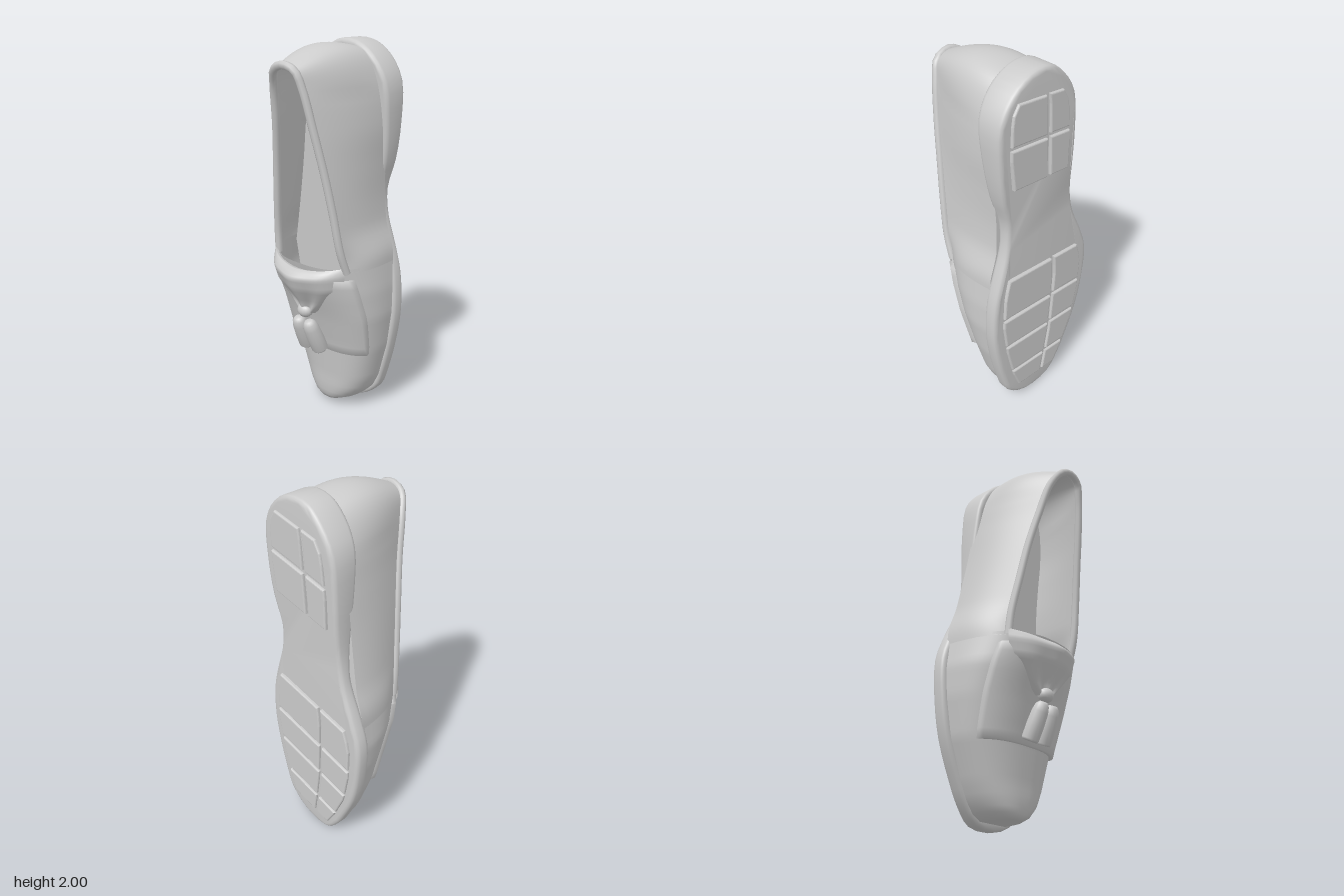
import * as THREE from 'three';
import { mergeVertices, toCreasedNormals } from 'three/addons/utils/BufferGeometryUtils.js';

const V = (x, y, z) => new THREE.Vector3(x, y, z);
const { clamp, lerp, smoothstep } = THREE.MathUtils;
const grey = new THREE.MeshStandardMaterial({ color: 0xcccccc });
const greyThin = new THREE.MeshStandardMaterial({ color: 0xcccccc, side: THREE.DoubleSide });

// Smooth sheet from f(u, v) -> Vector3
function sheet(nu, nv, f) {
  const pos = [], idx = [];
  for (let j = 0; j <= nv; j++) for (let i = 0; i <= nu; i++) pos.push(...f(i / nu, j / nv).toArray());
  for (let j = 0; j < nv; j++) for (let i = 0; i < nu; i++) {
    const a = j * (nu + 1) + i, b = a + nu + 1;
    idx.push(a, a + 1, b, a + 1, b + 1, b);
  }
  const g = new THREE.BufferGeometry();
  g.setAttribute('position', new THREE.Float32BufferAttribute(pos, 3));
  g.setIndex(idx);
  g.computeVertexNormals();
  return g;
}

// Piecewise-linear lookup in rows [y, value, value...]
function lookup(rows, y) {
  let i = 0;
  while (i < rows.length - 2 && y > rows[i + 1][0]) i++;
  const a = rows[i], b = rows[i + 1], t = clamp((y - a[0]) / (b[0] - a[0]), 0, 1);
  return a.map((n, k) => n + (b[k] - n) * t);
}

// Sole outline: y, left edge, right edge
const SOLE = [[0.01, -0.08, 0.11], [0.1, -0.165, 0.235], [0.2, -0.22, 0.275], [0.4, -0.305, 0.325], [0.6, -0.345, 0.352],
  [0.8, -0.352, 0.34], [0.95, -0.3, 0.3], [1.1, -0.235, 0.255], [1.25, -0.205, 0.245], [1.4, -0.2, 0.285],
  [1.6, -0.2, 0.31], [1.8, -0.18, 0.305], [1.92, -0.1, 0.23], [1.985, -0.01, 0.12]];

// Vamp stations: y, left, right, crown height
const VAMP = [[0.03, -0.07, 0.11, -0.05], [0.06, -0.12, 0.17, -0.03], [0.12, -0.165, 0.225, -0.02], [0.2, -0.205, 0.26, -0.015],
  [0.4, -0.285, 0.31, 0.01], [0.6, -0.325, 0.335, 0.07], [0.75, -0.335, 0.335, 0.13], [0.9, -0.315, 0.32, 0.18]];

// Point on the arched vamp, leaning to one side; u runs left to right, grow lifts it off the surface
function vampPoint(u, y, grow = 0) {
  const [, l, r, top] = lookup(VAMP, y), a = Math.PI * (1 - u), c = Math.cos(a);
  const rise = Math.max(0, Math.sin(a)) ** 0.72, hw = (r - l) / 2 + grow;
  return V((l + r) / 2 + hw * Math.sign(c) * Math.abs(c) ** 0.78 + 0.045 * Math.min(1, y / 0.6) * rise,
    y, -0.23 + (top + 0.23 + grow) * rise);
}

function extrude(points, depth, bevel, z) {
  const g = new THREE.ExtrudeGeometry(new THREE.Shape(points),
    { depth, bevelThickness: bevel, bevelSize: bevel, bevelOffset: -bevel, bevelSegments: 3 });
  return g.translate(0, 0, z + bevel);
}

function smooth(g) {
  g.deleteAttribute('uv');
  g.deleteAttribute('normal');
  return toCreasedNormals(mergeVertices(g, 1e-4), 0.8);
}

export function createModel() {
  const model = new THREE.Group();
  const add = (name, geometry, material = grey, parent = model) => {
    const m = new THREE.Mesh(geometry, material);
    m.name = name;
    parent.add(m);
    return m;
  };

  // Sole: thickens into the heel, and hollows slightly at the arch
  const loop = [...SOLE.map(([y, , r]) => V(r, y, 0)), ...SOLE.slice().reverse().map(([y, l]) => V(l, y, 0))];
  const outline = new THREE.CatmullRomCurve3(loop, true).getPoints(84).slice(0, -1).map(p => new THREE.Vector2(p.x, p.y));
  const soleGeo = extrude(outline, 0.034, 0.022, -0.29);
  const sp = soleGeo.attributes.position;
  for (let i = 0; i < sp.count; i++) {
    const y = sp.getY(i), z = sp.getZ(i);
    if (z > -0.25) sp.setZ(i, z + 0.08 * clamp((y - 1.15) / 0.75, 0, 1));
    else sp.setZ(i, z + 0.012 * Math.exp(-(((y - 1.2) / 0.18) ** 2)));
  }
  add('sole', smooth(soleGeo));

  // Tread pads: two columns under the ball, one pair under the heel
  const treads = new THREE.Group();
  treads.name = 'treads';
  model.add(treads);
  const bands = [[0.1, 0.23], [0.25, 0.44], [0.46, 0.64], [0.66, 0.9], [1.43, 1.64], [1.66, 1.86]];
  for (const [y0, y1] of bands) {
    for (const side of [-1, 1]) {
      const edge = [], inner = [];
      for (let k = 0; k <= 4; k++) {
        const y = lerp(y0, y1, k / 4), [, l, r] = lookup(SOLE, y);
        const mid = l + (r - l) * 0.4, out = side < 0 ? l + 0.06 : r - 0.06;
        edge.push(new THREE.Vector2(out, y + out * 0.12));
        inner.unshift(new THREE.Vector2(mid + side * 0.01, y + mid * 0.12));
      }
      const pts = [...edge, ...inner];
      add('treadPad', extrude(side > 0 ? pts : pts.reverse(), 0.012, 0.008, -0.303), grey, treads);
    }
  }

  // Vamp, with its first row gathered to close the toe
  add('vamp', sheet(40, 32, (u, v) => {
    if (v === 0) return V(0.02, 0.03, -0.23);
    return vampPoint(u, lerp(0.03, 0.9, (v * 32 - 1) / 31));
  }), greyThin);

  // Quarters: wall running round the heel, from the sole up to the opening, blending into the vamp
  const base = new THREE.CatmullRomCurve3([V(-0.315, 0.88, -0.23), V(-0.29, 1, -0.23), V(-0.25, 1.2, -0.22), V(-0.215, 1.4, -0.21),
    V(-0.185, 1.6, -0.2), V(-0.145, 1.8, -0.18), V(-0.06, 1.93, -0.17), V(0.06, 1.955, -0.17), V(0.18, 1.93, -0.17),
    V(0.255, 1.8, -0.18), V(0.28, 1.6, -0.2), V(0.27, 1.4, -0.21), V(0.265, 1.2, -0.22), V(0.285, 1, -0.23), V(0.32, 0.88, -0.23)]);
  const rim = new THREE.CatmullRomCurve3([vampPoint(0.25, 0.88), V(-0.2, 1, 0.095), V(-0.17, 1.2, 0.125), V(-0.137, 1.4, 0.155),
    V(-0.095, 1.6, 0.195), V(-0.053, 1.79, 0.245), V(-0.005, 1.87, 0.285), V(0.065, 1.895, 0.295), V(0.135, 1.87, 0.288),
    V(0.165, 1.79, 0.27), V(0.2, 1.6, 0.235), V(0.23, 1.4, 0.195), V(0.255, 1.2, 0.16), V(0.273, 1, 0.125), vampPoint(0.75, 0.88)]);
  add('quarters', sheet(80, 14, (u, v) => {
    const b = base.getPoint(u), r = rim.getPoint(u), k = v ** 1.4;
    const out = V(b.x - 0.06, b.y - clamp(b.y, 0.8, 1.75), 0).normalize();
    const p = V(lerp(b.x, r.x, k), lerp(b.y, r.y, k), lerp(b.z, r.z, v))
      .addScaledVector(out, lerp(0.012, 0.043, Math.max(0, out.y)) * Math.sin(Math.PI * v));
    const seam = vampPoint(u < 0.5 ? v * 0.25 : 1 - v * 0.25, 0.88).setY(p.y);
    return p.lerp(seam, 1 - smoothstep(b.y, 0.88, 1.1));
  }), greyThin);
  add('openingRim', new THREE.TubeGeometry(rim, 70, 0.02, 8));

  // Insole, rising gently to the heel
  const inside = base.getPoints(50).map(p => new THREE.Vector2(p.x * 0.96, p.y * 0.99));
  const insole = new THREE.ShapeGeometry(new THREE.Shape([...inside, new THREE.Vector2(0.25, 0.5), new THREE.Vector2(-0.25, 0.5)]));
  add('insole', insole.rotateX(0.06).translate(0, 0, -0.19), greyThin);

  // Saddle strap laid over the vamp, with a thin turned-down edge
  add('saddleStrap', sheet(30, 12, (u, v) => {
    const t = clamp((v - 1 / 12) * 1.2, 0, 1), inset = lerp(0.16, 0.21, t);
    const edge = v === 0 || v === 1 || u === 0 || u === 1;
    return vampPoint(lerp(inset, 1 - inset, u), lerp(0.38, 0.84, t), edge ? 0 : 0.02);
  }), greyThin);

  // Gathered tongue: flares at the opening, pinches into the knot. Rows: v, y, half width, z, side drop
  const TONGUE = [[0, 0.89, 0.235, 0.15, 0.05], [0.2, 0.9, 0.25, 0.2, 0.1], [0.32, 0.86, 0.255, 0.245, 0.14],
    [0.55, 0.78, 0.235, 0.215, 0.12], [0.8, 0.68, 0.13, 0.155, 0.05], [1, 0.61, 0.05, 0.13, 0.02]];
  add('tongue', sheet(24, 20, (u, v) => {
    const [, y, hw, z, drop] = lookup(TONGUE, v), s = u * 2 - 1;
    return V(0.03 + s * hw, y + (0.04 * s * s - 0.03) * (1 - v), z - drop * s * s + 0.01 * Math.cos(s * 9) * v);
  }), greyThin);

  // Knot and pair of tassels
  const knot = add('knot', new THREE.SphereGeometry(0.045, 16, 10));
  knot.position.set(0.03, 0.62, 0.125);
  knot.scale.set(1, 0.85, 0.85);
  const profile = [[0, -0.1], [0.038, -0.1], [0.044, -0.09], [0.045, -0.02], [0.042, 0.05], [0.034, 0.085], [0.02, 0.1], [0, 0.1]]
    .map(p => new THREE.Vector2(...p));
  for (const side of [-1, 1]) {
    const t = add('tassel', new THREE.LatheGeometry(profile, 14));
    t.position.set(0.03 + side * 0.043, 0.48, 0.1);
    t.rotation.set(0.42, 0, side * 0.05);
  }
  return model;
}
